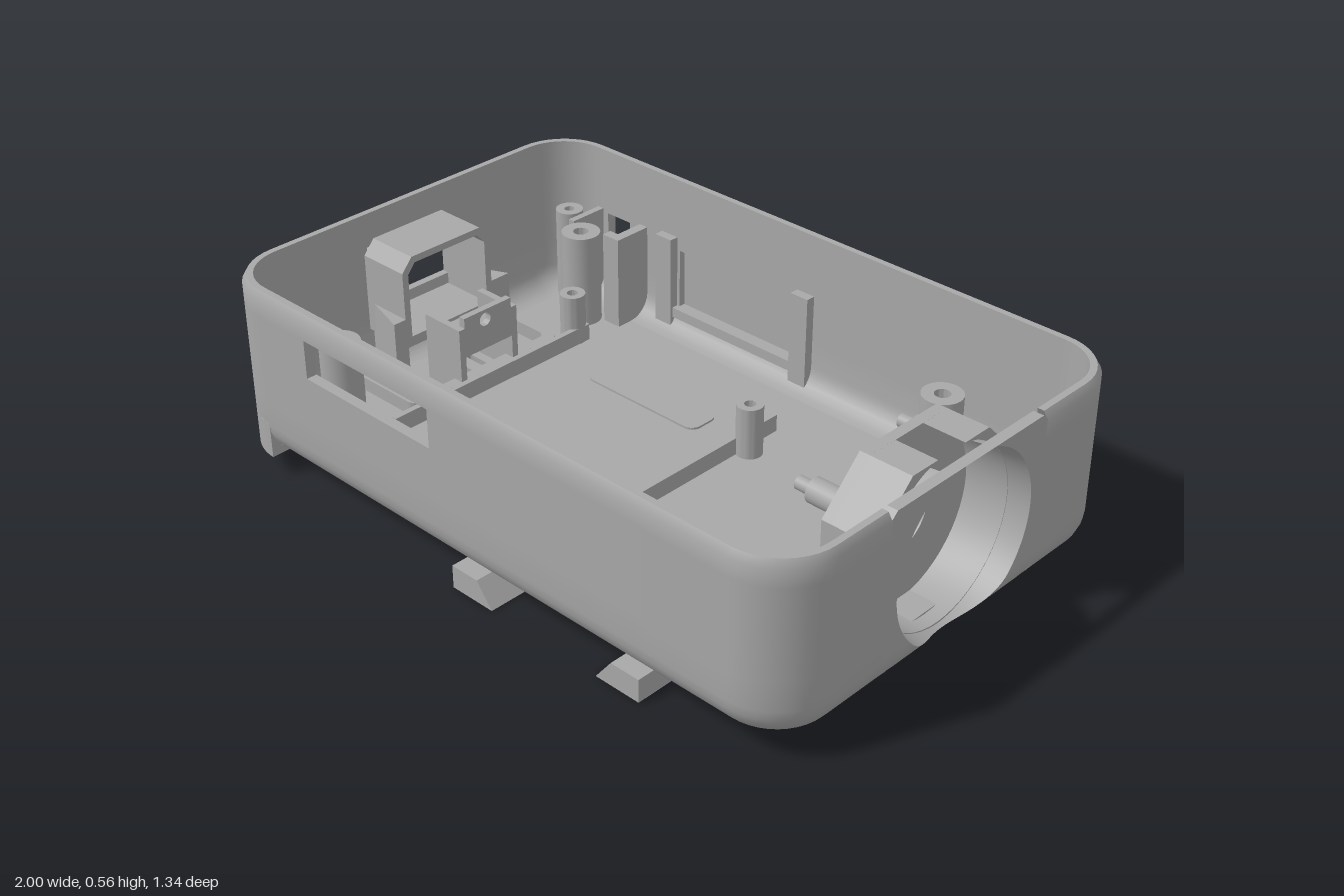
import * as THREE from 'three';
import { toCreasedNormals } from 'three/addons/utils/BufferGeometryUtils.js';

const grey = new THREE.MeshStandardMaterial({ color: 0xa8a8a8, side: THREE.DoubleSide });
grey.name = 'grey plastic';
const X0 = -0.96, X1 = 1, Z0 = -0.58, Z1 = 0.67, R = 0.17, FIL = 0.1, WALL = 0.03, TOP = 0.56;
const CY = 0.325, CZ = 0.045; // lens opening centre

export function createModel() {
  const root = new THREE.Group();
  const add = (name, geo) => {
    const m = new THREE.Mesh(geo, grey);
    m.name = name;
    root.add(m);
    return m;
  };
  const box = (name, x0, x1, y0, y1, z0, z1) =>
    add(name, new THREE.BoxGeometry(x1 - x0, y1 - y0, z1 - z0)
      .translate((x0 + x1) / 2, (y0 + y1) / 2, (z0 + z1) / 2));
  const poly = (pts) => new THREE.Shape(pts.map((p) => new THREE.Vector2(...p)));
  const extrude = (s, depth) => new THREE.ExtrudeGeometry(s, { depth, bevelEnabled: false, curveSegments: 16 });
  // plan shapes use (x, -z); side shapes use (-z, y)
  const extrudeY = (s, y0, y1) => toCreasedNormals(extrude(s, y1 - y0).rotateX(-Math.PI / 2).translate(0, y0, 0), 0.6);
  const extrudeX = (s, x0, x1) => toCreasedNormals(extrude(s, x1 - x0).rotateY(Math.PI / 2).translate(x0, 0, 0), 0.6);
  const circle = (x, y, r) => new THREE.Path().absarc(x, y, r, 0, Math.PI * 2, true);
  const roundRect = (x0, z0, x1, z1, r) => {
    const s = new THREE.Shape();
    s.absarc(x1 - r, -z1 + r, r, -Math.PI / 2, 0);
    s.absarc(x1 - r, -z0 - r, r, 0, Math.PI / 2);
    s.absarc(x0 + r, -z0 - r, r, Math.PI / 2, Math.PI);
    s.absarc(x0 + r, -z1 + r, r, Math.PI, Math.PI * 1.5);
    return s;
  };
  const surface = (pos) => {
    const g = new THREE.BufferGeometry();
    g.setAttribute('position', new THREE.Float32BufferAttribute(pos, 3));
    return toCreasedNormals(g, 0.6);
  };
  const quad = (out, a, b, c, d) => out.push(...a, ...b, ...c, ...a, ...c, ...d);

  // --- wall shell: a rounded outline swept up, with openings left out ---
  const windows = [
    { n: [0, 1], lo: -0.6, hi: -0.13, y0: 0.38, y1: 0.49 },
    { n: [-1, 0], lo: -0.09, hi: 0.2, y0: 0.24, y1: 0.46 },
    { n: [0, -1], lo: -0.46, hi: -0.03, y0: 0.16, y1: 0.34 },
    { n: [0, -1], lo: -0.75, hi: -0.66, y0: 0.25, y1: 0.36 },
    { n: [1, 0], lo: -0.24, hi: 0.33, y0: 0, y1: 1, plain: true },
  ];
  const cx0 = X0 + R, cx1 = X1 - R, cz0 = Z0 + R, cz1 = Z1 - R;
  const sides = [
    [0, 1, [cx0, -0.6, -0.13, cx1]],
    [1, 0, [cz1, 0.33, -0.24, cz0]],
    [0, -1, [cx1, -0.03, -0.46, -0.66, -0.75, cx0]],
    [-1, 0, [cz0, -0.09, 0.2, cz1]],
  ];
  const ring = [];
  for (const [nx, nz, us] of sides) {
    for (const u of us) ring.push({ x: nz ? u : nx > 0 ? cx1 : cx0, z: nx ? u : nz > 0 ? cz1 : cz0, nx, nz, u });
    const end = ring[ring.length - 1];
    for (let k = 1; k < 10; k++) {
      const a = Math.atan2(nx, nz) + (k / 10) * Math.PI / 2;
      ring.push({ x: end.x, z: end.z, nx: Math.sin(a), nz: Math.cos(a), u: 9 });
    }
  }
  const rows = [];
  for (let k = 0; k <= 6; k++) {
    const s = Math.sin(k * Math.PI / 12), c = Math.cos(k * Math.PI / 12), f = FIL - WALL;
    rows.push([FIL - FIL * s, 0.16 - FIL * c, FIL - f * s, 0.16 - f * c]);
  }
  for (const y of [0.24, 0.25, 0.34, 0.36, 0.38, 0.46, 0.49, 0.54]) rows.push([0, y, WALL, y]);
  rows.push([0.012, TOP, WALL, TOP]);
  const P = (i, j, inner) => {
    const p = ring[i % ring.length], d = R - rows[j][inner ? 2 : 0];
    return [p.x + p.nx * d, rows[j][inner ? 3 : 1], p.z + p.nz * d];
  };
  const openAt = (i, j) => {
    if (j < 0 || j >= rows.length - 1) return null;
    const n = ring.length, a = ring[(i + n) % n], b = ring[(i + 1 + n) % n];
    const u = (a.u + b.u) / 2, y = (rows[j][1] + rows[j + 1][1]) / 2;
    return windows.find((w) => [a, b].every((p) => Math.hypot(p.nx - w.n[0], p.nz - w.n[1]) < 1e-6)
      && u > w.lo && u < w.hi && y > w.y0 && y < w.y1);
  };
  const shell = [];
  for (let i = 0; i < ring.length; i++) {
    for (let j = 0; j < rows.length - 1; j++) {
      const w = openAt(i, j), c = [[i, j], [i + 1, j], [i + 1, j + 1], [i, j + 1]];
      if (!w) {
        quad(shell, ...c.map((p) => P(...p, false)));
        quad(shell, ...c.map((p) => P(...p, true)).reverse());
      } else if (!w.plain) {
        [[i, j - 1], [i + 1, j], [i, j + 1], [i - 1, j]].forEach((nb, k) => {
          const p = c[k], q = c[(k + 1) % 4];
          if (!openAt(...nb)) quad(shell, P(...p, false), P(...q, false), P(...q, true), P(...p, true));
        });
      }
    }
    const j = rows.length - 1;
    if (!openAt(i, j - 1)) quad(shell, P(i, j, false), P(i + 1, j, false), P(i + 1, j, true), P(i, j, true));
  }
  add('walls', surface(shell));

  // --- right wall around the round lens opening ---
  const lens = [], N = 96, M = 6;
  const wallX = (y) => X1 - (y < 0.16 ? FIL - Math.sqrt(Math.max(0, FIL * FIL - (0.16 - y) ** 2)) : 0);
  const lensPt = (k, t, back) => {
    const a = (k / N) * Math.PI * 2 + Math.PI / 4, c = Math.cos(a), s = Math.sin(a);
    const edge = Math.min(0.285 / Math.abs(c), (s > 0 ? TOP - CY : CY - 0.06) / Math.abs(s));
    const r0 = Math.min(0.25, edge), r = r0 + (edge - r0) * t;
    const y = CY + r * s;
    return [wallX(y) - back, y, CZ - r * c];
  };
  for (let k = 0; k < N; k++) {
    for (let m = 0; m < M; m++) {
      const c = [[k, m / M], [k, (m + 1) / M], [k + 1, (m + 1) / M], [k + 1, m / M]];
      quad(lens, ...c.map((p) => lensPt(...p, 0)));
      quad(lens, ...c.map((p) => lensPt(...p, WALL)).reverse());
    }
    quad(lens, lensPt(k, 1, 0), lensPt(k, 1, WALL), lensPt(k + 1, 1, WALL), lensPt(k + 1, 1, 0));
    const p = lensPt(k, 0, 0), q = lensPt(k + 1, 0, 0);
    if (p[1] < TOP - 0.001 || q[1] < TOP - 0.001) {
      const inn = (v) => [0.93, CY + (v[1] - CY) * 0.96, CZ + (v[2] - CZ) * 0.96];
      quad(lens, p, q, inn(q), inn(p));
    }
  }
  add('lensOpening', surface(lens));

  // --- faceted lens housing, open at the top ---
  const half = [[0.14, 0.235], [0.265, 0.11], [0.265, -0.11], [0.11, -0.25]];
  const facets = [...half, ...half.map(([a, b]) => [-a, b]).reverse()].map(([a, b]) => [a - CZ, b + CY]);
  const bore = [];
  for (let k = 0; k <= 48; k++) {
    const a = Math.PI / 2 + 0.21 + (k / 48) * (Math.PI * 2 - 0.42);
    bore.push([-CZ + 0.24 * Math.cos(a), CY + 0.24 * Math.sin(a)]);
  }
  add('lensHousing', extrudeX(poly([...facets, ...bore]), 0.82, 0.94));
  const plate = poly(facets);
  plate.holes.push(circle(-CZ, CY, 0.09));
  add('lensBackPlate', extrudeX(plate, 0.79, 0.82));
  for (const z of [-0.145, 0.23]) for (const y of [0.215, 0.435]) {
    for (const [r, x] of [[0.033, 0.7], [0.018, 0.655]]) {
      add('cameraPin', new THREE.CylinderGeometry(r, r, 0.8 - x, 24).rotateZ(Math.PI / 2).translate((0.8 + x) / 2, y, z));
    }
  }

  // --- floor with screw holes, vents and nut hole ---
  const floor = roundRect(X0 + FIL, Z0 + FIL, X1 - FIL, Z1 - FIL, R - FIL);
  const screws = [[-0.71, -0.4], [0.59, -0.4], [-0.71, 0.48], [0.59, 0.48]];
  for (const [x, z] of screws) floor.holes.push(circle(x, -z, 0.036));
  floor.holes.push(circle(0.25, -0.48, 0.035));
  for (let k = 0; k < 5; k++) {
    const z = -0.07 + k * 0.056;
    floor.holes.push(roundRect(-0.78, z - 0.009, -0.63, z + 0.009, 0.008));
  }
  add('floor', extrudeY(floor, 0.06, 0.09));
  for (const z of [-0.21, 0.315]) add('floorPad', extrudeY(roundRect(-0.45, z - 0.052, -0.04, z + 0.052, 0.03), 0.088, 0.096));

  // --- screw posts, small posts and nut socket ---
  const tube = (name, x, z, r, hole, y1, seg = 0) => {
    const s = new THREE.Shape().absarc(x, -z, r, 0, Math.PI * 2);
    s.holes.push(seg ? poly([...Array(seg).keys()].map((k) =>
      [x + hole * Math.cos(k * 2 * Math.PI / seg), -z + hole * Math.sin(k * 2 * Math.PI / seg)])) : circle(x, -z, hole));
    add(name, extrudeY(s, 0.085, y1));
  };
  for (const [x, z] of screws) tube('screwPost', x, z, 0.056, 0.022, 0.37);
  for (const [x, z] of [[0.135, -0.19], [-0.635, -0.29]]) tube('smallPost', x, z, 0.037, 0.016, 0.24);
  tube('cornerPost', -0.84, -0.48, 0.04, 0.015, 0.37);
  tube('nutSocket', 0.25, 0.48, 0.088, 0.066, 0.15, 6);
  box('clipBack', 0.34, 0.36, 0.085, 0.22, 0.39, 0.52);
  box('clipFront', 0.36, 0.43, 0.085, 0.26, 0.39, 0.42);
  box('clipFoot', 0.36, 0.43, 0.085, 0.14, 0.42, 0.52);

  // --- ribs on the floor ---
  box('boardRib', 0.1, 0.117, 0.085, 0.14, -0.32, 0.4);
  box('boardRib', -0.617, -0.6, 0.085, 0.14, -0.32, 0.4);
  const frame = roundRect(-0.935, -0.23, -0.63, 0.31, 0.03);
  frame.holes.push(roundRect(-0.91, -0.2, -0.66, 0.28, 0.02));
  add('portFrame', extrudeY(frame, 0.085, 0.13));

  // --- connector hood and tray behind the left opening ---
  const hood = poly([[-0.21, 0.21], [0.105, 0.21], [0.105, 0.44], [0.07, 0.48], [-0.175, 0.48], [-0.21, 0.44]]);
  hood.holes.push(poly([[-0.19, 0.24], [0.085, 0.24], [0.085, 0.43], [0.06, 0.46], [-0.165, 0.46], [-0.19, 0.43]]));
  add('connectorHood', extrudeX(hood, -0.935, -0.77));
  for (const [z, d] of [[-0.1, -0.07], [0.205, 0.045]]) {
    add('hoodGusset', extrudeY(poly([[-0.92, -z], [-0.77, -z], [-0.77, -z - d]]), 0.09, 0.3));
  }
  box('trayBase', -0.77, -0.63, 0.2, 0.23, -0.07, 0.14);
  for (const z of [-0.07, 0.12]) box('traySide', -0.77, -0.63, 0.09, 0.29, z, z + 0.02);
  const stop = poly([[-0.12, 0.23], [0.05, 0.23], [0.05, 0.32], [-0.12, 0.32]]);
  stop.holes.push(circle(-CZ, 0.29, 0.02));
  add('trayStop', extrudeX(stop, -0.65, -0.63));

  // --- holder by the small rear opening ---
  box('slotHolder', -0.62, -0.59, 0.085, 0.37, -0.555, -0.43);
  box('slotHolder', -0.79, -0.77, 0.085, 0.37, -0.555, -0.43);
  box('slotHolderLip', -0.65, -0.62, 0.085, 0.37, -0.46, -0.43);

  // --- hollow bulge on the rear wall, with inner posts ---
  const bulge = (x0, x1, z0, r) => {
    const s = new THREE.Shape();
    s.moveTo(x0, 0.57);
    s.lineTo(x1, 0.57);
    s.absarc(x1 - r, -z0 - r, r, 0, Math.PI / 2);
    s.absarc(x0 + r, -z0 - r, r, Math.PI / 2, Math.PI);
    return s;
  };
  const side = bulge(-0.53, 0.04, -0.67, 0.075);
  side.holes.push(roundRect(-0.46, -0.645, -0.03, -0.572, 0.005));
  add('rearBulge', extrudeY(side, 0.15, 0.34));
  add('rearBulgeBottom', extrudeY(bulge(-0.53, 0.04, -0.67, 0.075), 0.12, 0.15));
  add('rearBulgeTop', extrudeY(bulge(-0.53, 0.04, -0.67, 0.075), 0.34, 0.36));
  add('rearBulgeCap', extrudeY(bulge(-0.52, 0.03, -0.66, 0.065), 0.36, 0.368));
  for (const x of [-0.53, -0.02]) box('bulgePost', x, x + 0.06, 0.085, 0.38, -0.555, -0.522);
  box('bulgeSill', -0.53, 0.04, 0.13, 0.16, -0.555, -0.53);

  // --- square-edged skirt under the left end ---
  const skirt = (t) => {
    const s = new THREE.Shape(), cut = -0.79;
    s.moveTo(cut, -Z0);
    s.absarc(X0 + R, -Z0 - R, R, Math.PI / 2, Math.PI);
    s.absarc(X0 + R, -Z1 + R, R, Math.PI, Math.PI * 1.5);
    s.lineTo(cut, -Z1 + t);
    s.absarc(X0 + R, -Z1 + R, R - t, Math.PI * 1.5, Math.PI, true);
    s.absarc(X0 + R, -Z0 - R, R - t, Math.PI, Math.PI / 2, true);
    return s;
  };
  add('skirt', extrudeY(skirt(0.03), 0.06, 0.165));
  add('skirtBase', extrudeY(skirt(0.1), 0.0605, 0.085));

  // --- chamfered bar on the left wall ---
  const bar = extrude(poly([[-0.94, 0.27], [-0.96, 0.27], [-1, 0.245], [-1, 0.135], [-0.925, 0.062], [-0.91, 0.062]]), 0.64)
    .translate(0, 0, -0.28);
  const bp = bar.attributes.position;
  for (let i = 0; i < bp.count; i++) if (bp.getX(i) < -0.99) bp.setZ(i, bp.getZ(i) < 0 ? -0.24 : 0.31);
  bar.computeVertexNormals();
  add('leftBar', bar);

  // --- dovetail mounting rail underneath, open to the front ---
  const u = new THREE.Shape();
  u.moveTo(-0.07, -Z1);
  u.lineTo(0.07, -Z1);
  for (const p of [[0.07, -0.05], [0.43, -0.05], [0.43, -Z1], [0.57, -Z1]]) u.lineTo(...p);
  u.absarc(0.47, 0.05, 0.1, 0, Math.PI / 2);
  u.absarc(0.03, 0.05, 0.1, Math.PI / 2, Math.PI);
  const rail = extrude(u, 0.066).rotateX(-Math.PI / 2);
  const rp = rail.attributes.position;
  for (let i = 0; i < rp.count; i++) {
    const x = rp.getX(i), z = rp.getZ(i);
    if (rp.getY(i) > 0.03 && Math.abs(x - 0.25) < 0.19 && z > 0.04) {
      rp.setX(i, 0.25 + (x - 0.25) * 1.28);
      if (z < 0.06) rp.setZ(i, 0);
    }
  }
  rail.computeVertexNormals();
  add('mountRail', toCreasedNormals(rail, 0.5));
  return root;
}
